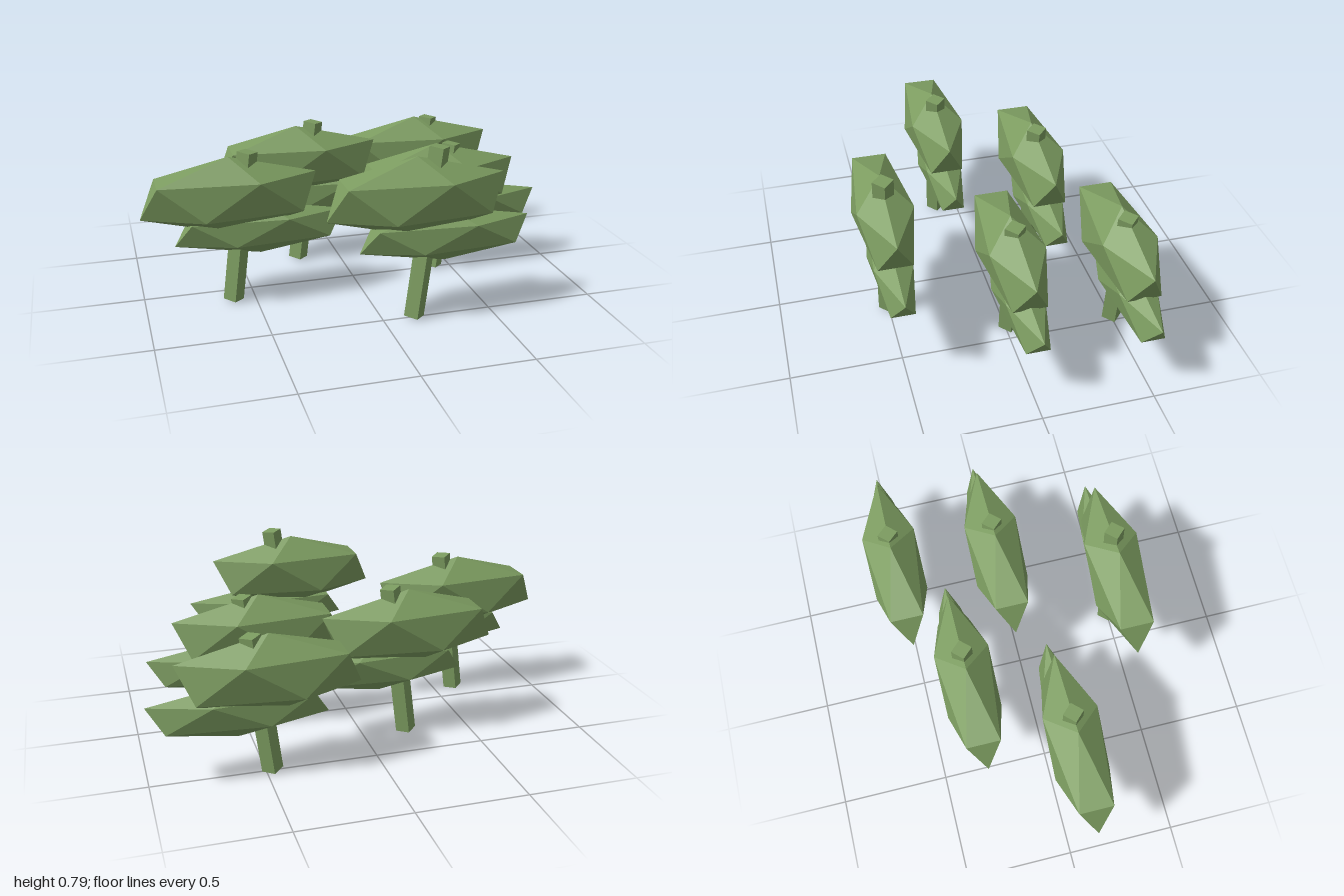
import * as THREE from 'three';

const LEAN = 0.125; // trunk tilt towards +x, radians

// Icosahedron standing on a point, with one upper-ring corner facing +x
function foliageGeometry(rx, ry, rz) {
  const geo = new THREE.IcosahedronGeometry(1, 0);
  geo.rotateX(-Math.atan((1 + Math.sqrt(5)) / 2));
  geo.rotateY(Math.PI / 2);
  geo.scale(rx, ry, rz);
  return geo;
}

export function createModel() {
  const group = new THREE.Group();
  const green = new THREE.MeshStandardMaterial({ color: 0x7c9c60, flatShading: true });
  green.name = 'leafGreen';

  const upperGeo = foliageGeometry(0.4446, 0.179, 0.147);
  const lowerGeo = foliageGeometry(0.433, 0.123, 0.102);

  // Each tree: x, z, height factor
  const trees = [
    [0.143, 0.498, 1],
    [-0.602, 0.108, 0.9],
    [-0.207, -0.295, 0.9],
    [0.417, -0.015, 0.8],
    [0.472, -0.502, 0.8],
  ];

  trees.forEach(([x, z, h], i) => {
    const tree = new THREE.Group();
    tree.name = `tree${i + 1}`;
    tree.position.set(x, 0, z);

    // Leaning four-sided trunk, pivoting at its foot
    const length = 0.786 * h;
    const trunkGeo = new THREE.CylinderGeometry(0.047, 0.047, length, 4);
    trunkGeo.translate(0, length / 2, 0);
    const trunk = new THREE.Mesh(trunkGeo, green);
    trunk.name = 'trunk';
    trunk.rotation.z = -LEAN;
    trunk.position.y = 0.006;

    // Two stretched foliage clumps
    const upper = new THREE.Mesh(upperGeo, green);
    upper.name = 'upperFoliage';
    upper.position.y = 0.57 * h;

    const lower = new THREE.Mesh(lowerGeo, green);
    lower.name = 'lowerFoliage';
    lower.position.set(0.135, 0.385 * h, 0);

    tree.add(trunk, upper, lower);
    group.add(tree);
  });

  return group;
}
